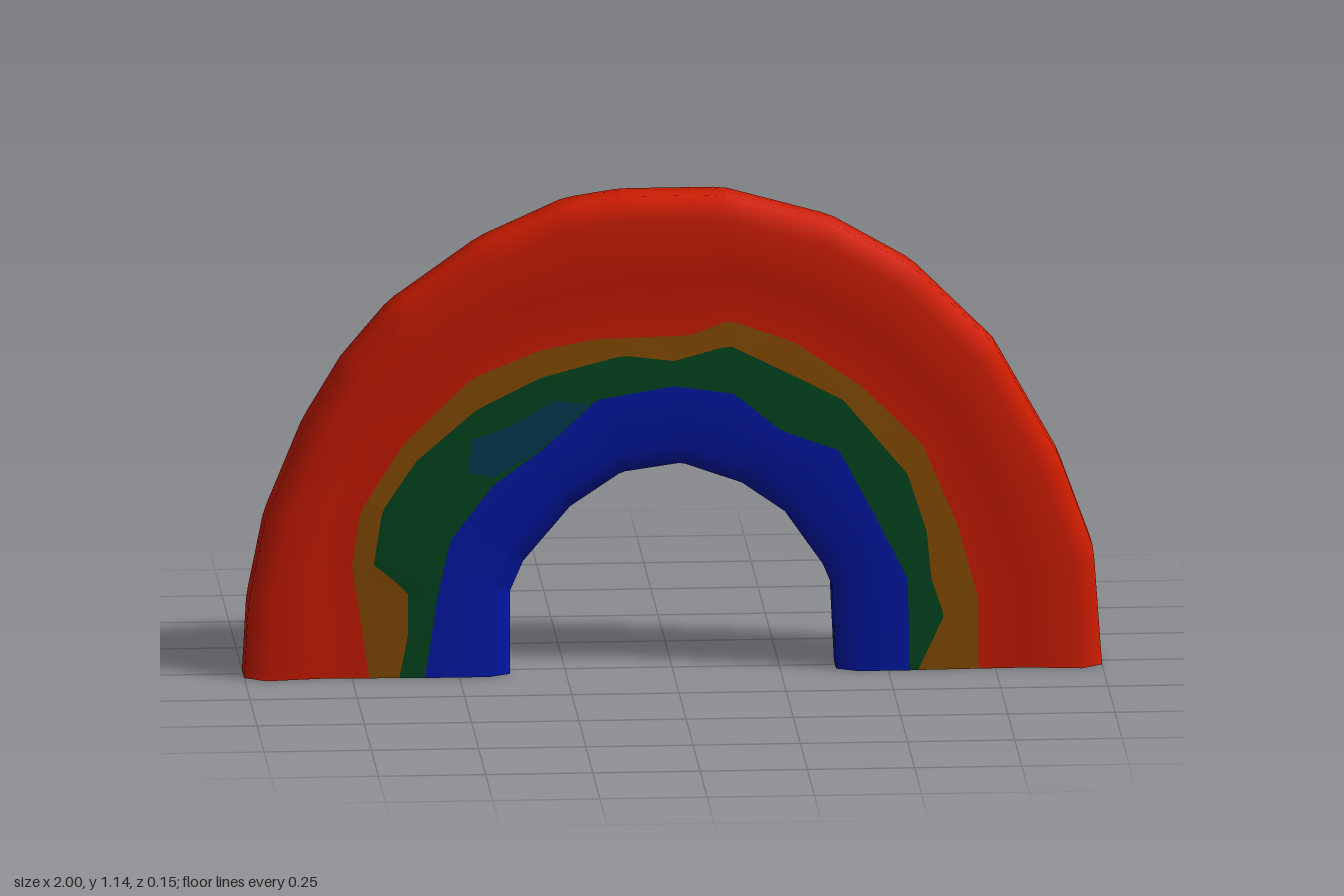
import * as THREE from 'three';

const SEGMENTS = 110;

// Outlines in the x-y plane, listed from the +x foot over the arch to the -x foot.
const outer = [[1, 0], [.98, .28], [.9, .5], [.75, .77], [.56, .96], [.37, 1.07], [.12, 1.14], [-.12, 1.14],
  [-.25, 1.12], [-.45, 1.03], [-.66, .88], [-.77, .75], [-.86, .6], [-.95, .38], [-.99, .18], [-1, 0]];
const inner = [[.38, 0], [.37, .2], [.35, .25], [.26, .38], [.16, .45], [.02, .5], [-.12, .48], [-.24, .4],
  [-.35, .27], [-.38, .2], [-.38, 0]];

// Painted boundaries: blue/green, green/yellow, yellow/red.
const frontBands = [
  [[.55, 0], [.545, .22], [.465, .38], [.385, .53], [.25, .58], [.14, .67], [0, .69], [-.18, .66], [-.31, .54],
    [-.42, .46], [-.52, .33], [-.55, .2], [-.58, 0]],
  [[.57, 0], [.63, .13], [.6, .22], [.59, .33], [.545, .47], [.395, .65], [.28, .71], [.13, .785], [0, .75],
    [-.12, .765], [-.31, .715], [-.46, .64], [-.6, .52], [-.68, .4], [-.7, .27], [-.62, .21], [-.62, .1], [-.64, 0]],
  [[.71, 0], [.71, .17], [.66, .35], [.58, .54], [.44, .68], [.28, .79], [.13, .845], [.04, .81], [-.18, .805],
    [-.31, .78], [-.47, .715], [-.63, .56], [-.73, .4], [-.75, .27], [-.73, .14], [-.71, 0]],
];
const backBands = [
  [[.62, 0], [.61, .09], [.57, .25], [.45, .43], [.25, .6], [.06, .69], [-.13, .64], [-.33, .52], [-.46, .35],
    [-.53, .13], [-.54, 0]],
  [[.73, 0], [.74, .09], [.7, .22], [.59, .44], [.42, .63], [.28, .745], [.17, .725], [-.02, .735], [-.3, .66],
    [-.42, .52], [-.53, .42], [-.56, .36], [-.63, .24], [-.63, .1], [-.65, 0]],
  [[.77, 0], [.77, .21], [.65, .4], [.49, .59], [.4, .69], [.28, .79], [.17, .755], [-.08, .76], [-.33, .71],
    [-.49, .68], [-.55, .53], [-.61, .46], [-.64, .39], [-.7, .3], [-.69, .15], [-.67, 0]],
];

// Blended paint patch where blue runs into green on the front
const patch = [[-.48, .49], [-.47, .57], [-.38, .6], [-.28, .66], [-.2, .65], [-.27, .58], [-.33, .53], [-.42, .48]];

// Distance from the origin to an outline along a ray at angle t.
function radiusAt(line, t) {
  const c = Math.cos(t), s = Math.sin(t);
  for (let i = 0; i < line.length - 1; i++) {
    const [ax, ay] = line[i], [bx, by] = line[i + 1];
    const da = c * ay - s * ax, db = c * by - s * bx; // side of the ray
    if (da <= 1e-9 && db >= -1e-9 && db > da) {
      const k = -da / (db - da);
      return Math.hypot(ax + (bx - ax) * k, ay + (by - ay) * k);
    }
  }
  return Math.hypot(...line[line.length - 1]);
}

// One face of the cross-section, from inner rim to outer rim: [radius, half depth].
function faceProfile(bands, t) {
  const ri = radiusAt(inner, t), ro = radiusAt(outer, t);
  const [gb, yg, ry] = bands.map((b) => radiusAt(b, t));
  return [[ri, .04], [ri + .05, .068], [gb, .068], [yg, .066], [ry, .062],
    [ry + (ro - ry) * .4, .059], [ro - .05, .075], [ro, .04]];
}

function makeMaterial(name, color) {
  const material = new THREE.MeshStandardMaterial({ color });
  material.name = name;
  return material;
}

export function createModel() {
  const group = new THREE.Group();
  const colours = { blue: 0x0018aa, green: 0x004820, yellow: 0x8a4e00, red: 0xd01c00 };
  // Colour of each strip across a face
  const strip = ['blue', 'blue', 'green', 'yellow', 'red', 'red', 'red'];
  const n = strip.length + 1, ring = 2 * n;
  const ringColour = [...strip, 'red', ...[...strip].reverse(), 'blue'];

  // Closed cross-sections swept around the arch
  const position = [];
  for (let j = 0; j <= SEGMENTS; j++) {
    const t = Math.PI * j / SEGMENTS;
    const put = (r, z) => position.push(r * Math.cos(t), Math.max(0, r * Math.sin(t)), z);
    faceProfile(frontBands, t).forEach(([r, z]) => put(r, z));
    faceProfile(backBands, t).reverse().forEach(([r, z]) => put(r, -z));
  }
  const index = { blue: [], green: [], yellow: [], red: [] };
  for (let j = 0; j < SEGMENTS; j++) {
    for (let i = 0; i < ring; i++) {
      const k = (i + 1) % ring;
      const a = j * ring + i, b = j * ring + k, c = b + ring, d = a + ring;
      index[ringColour[i]].push(a, b, c, a, c, d);
    }
  }
  const body = new THREE.BufferGeometry();
  body.setAttribute('position', new THREE.Float32BufferAttribute(position, 3));
  body.setIndex(Object.values(index).flat());
  body.computeVertexNormals();

  for (const [name, color] of Object.entries(colours)) {
    const material = makeMaterial(name, color);

    // Arched band, sharing the smooth normals of the whole body
    const band = new THREE.BufferGeometry();
    band.setAttribute('position', body.getAttribute('position'));
    band.setAttribute('normal', body.getAttribute('normal'));
    band.setIndex(index[name]);
    const bandMesh = new THREE.Mesh(band, material);
    bandMesh.name = name + 'Band';
    group.add(bandMesh);

    // Flat undersides of both feet
    const feet = [];
    for (const j of [0, SEGMENTS]) {
      strip.forEach((s, i) => {
        if (s !== name) return;
        const o = j * ring;
        const f0 = o + i, f1 = f0 + 1, b0 = o + ring - 1 - i, b1 = b0 - 1;
        feet.push(...(j ? [f0, f1, b1, f0, b1, b0] : [f0, b1, f1, f0, b0, b1]));
      });
    }
    const cap = new THREE.BufferGeometry();
    cap.setAttribute('position', new THREE.Float32BufferAttribute(
      feet.flatMap((v) => position.slice(3 * v, 3 * v + 3)), 3));
    cap.computeVertexNormals();
    const capMesh = new THREE.Mesh(cap, material);
    capMesh.name = name + 'FootSole';
    group.add(capMesh);
  }

  // Blended patch, a single face just proud of the front
  const shape = new THREE.Shape(patch.map(([x, y]) => new THREE.Vector2(x, y)));
  const patchMesh = new THREE.Mesh(new THREE.ShapeGeometry(shape), makeMaterial('teal', 0x003c56));
  patchMesh.name = 'blendedPatch';
  patchMesh.position.z = .0695;
  group.add(patchMesh);
  return group;
}
